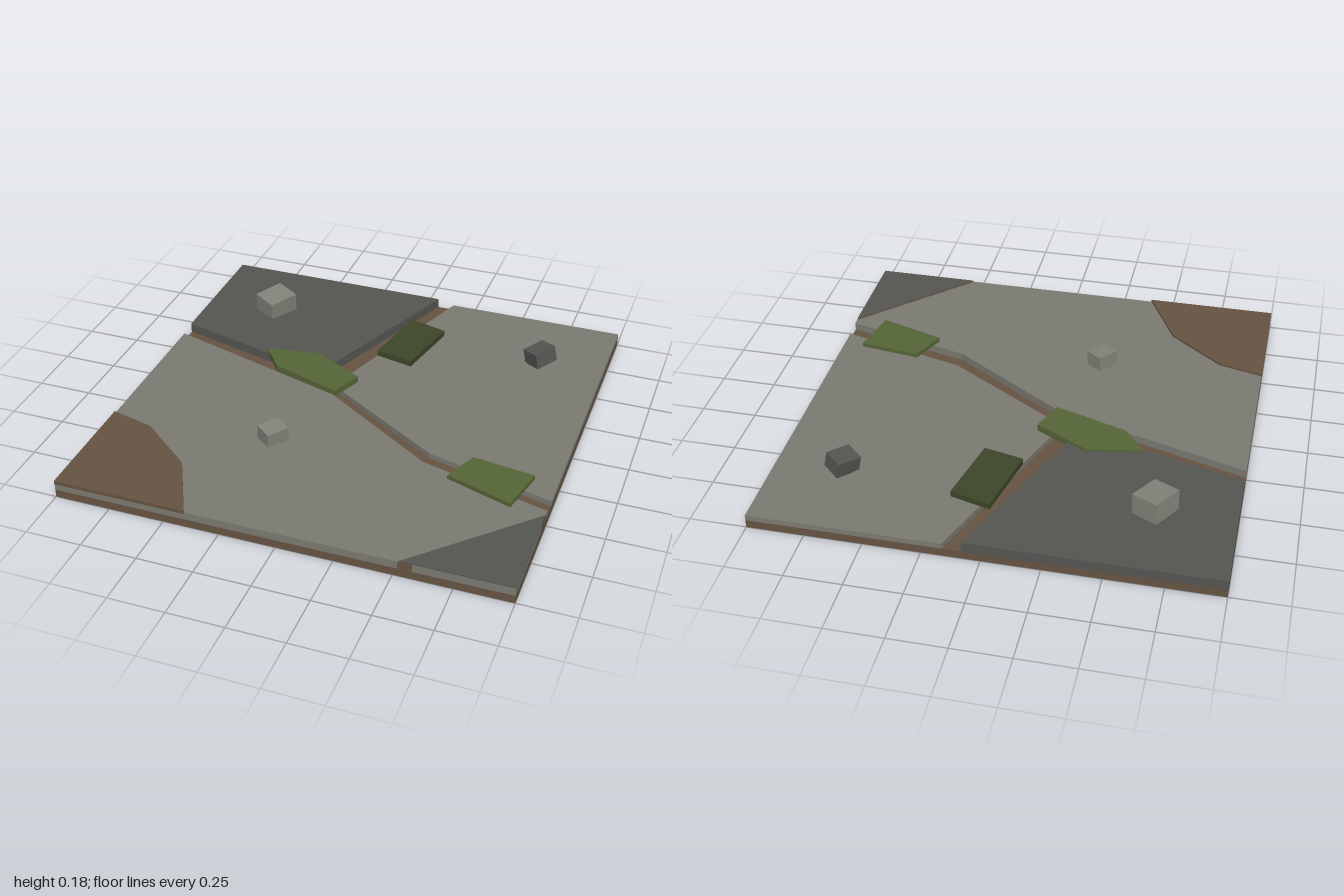
import * as THREE from 'three';

const mat = (name, color) => {
  const m = new THREE.MeshStandardMaterial({ color });
  m.name = name;
  return m;
};

export function createModel() {
  const group = new THREE.Group();
  group.name = 'crackedGroundTile';
  const earth = mat('earth', 0x665443);
  const stone = mat('stone', 0x7b7a72);
  const darkStone = mat('darkStone', 0x555552);
  const paleStone = mat('paleStone', 0x84837a);
  const moss = mat('moss', 0x566537);
  const darkMoss = mat('darkMoss', 0x3d4729);

  // Upright prism over an outline of [x, z] points, from y0 to y1
  function slab(name, material, points, y0, y1) {
    const shape = new THREE.Shape(points.map(([x, z]) => new THREE.Vector2(x, -z)));
    const geo = new THREE.ExtrudeGeometry(shape, { depth: y1 - y0, bevelEnabled: false });
    geo.rotateX(-Math.PI / 2);
    const mesh = new THREE.Mesh(geo, material);
    mesh.name = name;
    mesh.position.y = y0;
    group.add(mesh);
    return mesh;
  }

  // Earth bed, seen through the cracks
  slab('earthBed', earth, [[-1, -1], [1, -1], [1, 1], [-1, 1]], 0, 0.037);

  // Broken paving slabs
  slab('backLeftSlab', darkStone,
    [[-1, -1], [0.08, -1], [-0.25, -0.16], [-1, -0.36]], 0.037, 0.083);
  slab('rightSlab', stone,
    [[0.16, -1], [1, -1], [1, 0.41], [0.42, 0.255], [-0.16, -0.11]], 0.037, 0.062);
  slab('frontSlab', stone,
    [[-1, -0.28], [-0.13, -0.02], [0.42, 0.34], [1, 0.49], [1, 0.52], [0.52, 1], [-1, 1]], 0.037, 0.073);

  // Chipped front right corner: earth seam, stone body and dark cap
  slab('cornerSeam', earth, [[0.52, 1], [1, 0.52], [1, 0.58], [0.58, 1]], 0.037, 0.074);
  slab('cornerBody', stone, [[0.58, 1], [1, 0.58], [1, 1]], 0.037, 0.073);
  slab('cornerCap', darkStone, [[0.53, 1], [1, 0.53], [1, 1]], 0.074, 0.079);

  // Bare earth patch at the front left
  slab('earthPatch', earth,
    [[-1.001, 0.45], [-0.8, 0.5], [-0.55, 0.7], [-0.4, 1.001], [-1.001, 1.001]], 0.066, 0.083);

  // Moss cushions
  slab('middleMoss', moss,
    [[-0.55, -0.26], [-0.3, -0.3], [-0.06, -0.17], [-0.12, -0.02], [-0.45, -0.13]], 0.063, 0.094);
  slab('rightMoss', moss, [[0.62, 0.26], [0.9, 0.3], [0.85, 0.52], [0.55, 0.42]], 0.074, 0.094);
  slab('backMoss', darkMoss, [[0.02, -0.75], [0.2, -0.7], [0.13, -0.38], [-0.05, -0.42]], 0.063, 0.091);

  // Loose rocks, slightly tilted
  const rocks = [
    ['leftRock', paleStone, [0.128, 0.095, 0.15], [-0.655, 0.126, -0.63], [0.06, -0.53, -0.08]],
    ['rightRock', darkStone, [0.095, 0.075, 0.115], [0.697, 0.107, -0.62], [0.12, -0.65, 0.16]],
    ['frontRock', paleStone, [0.09, 0.07, 0.105], [-0.252, 0.107, 0.398], [0.03, -0.65, -0.06]],
  ];
  for (const [name, material, size, pos, rot] of rocks) {
    const rock = new THREE.Mesh(new THREE.BoxGeometry(...size), material);
    rock.name = name;
    rock.position.set(...pos);
    rock.rotation.set(rot[0], rot[1], rot[2], 'YXZ');
    group.add(rock);
  }
  return group;
}
